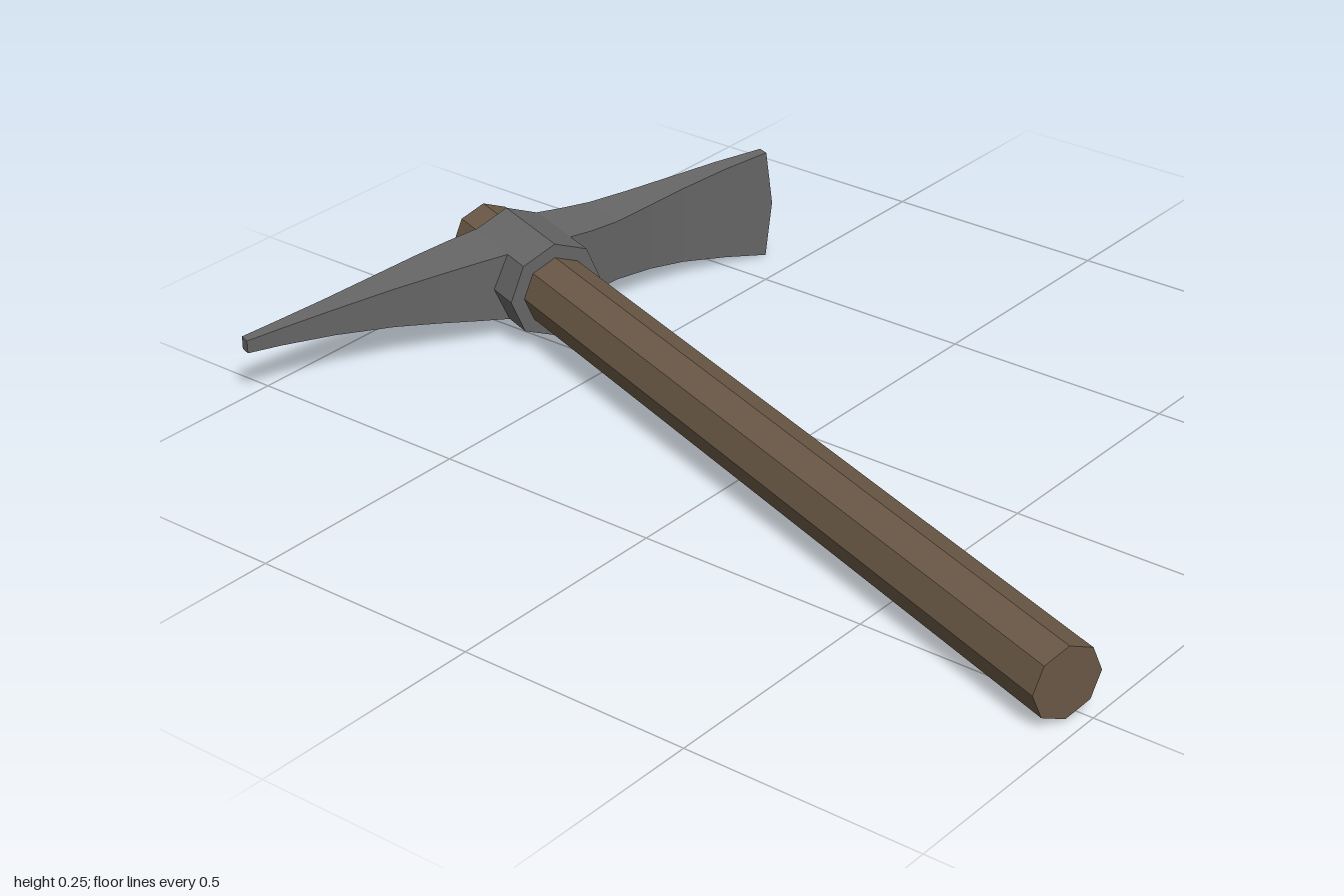
import * as THREE from 'three';

const wood = new THREE.MeshStandardMaterial({ color: 0x6a5846, flatShading: true });
const iron = new THREE.MeshStandardMaterial({ color: 0x666666, flatShading: true });

// Octagonal bar along local y, from y0 to y1
function octagonBar(name, radius, y0, y1, material) {
  const geometry = new THREE.CylinderGeometry(radius, radius, y1 - y0, 8);
  geometry.translate(0, (y0 + y1) / 2, 0);
  const mesh = new THREE.Mesh(geometry, material);
  mesh.name = name;
  return mesh;
}

// Loft through sections [x, yLow, yHigh, halfHeight, bulge]; six points per ring
function arm(name, sections) {
  const positions = [];
  const index = [];
  for (const [x, low, high, h, bulge = 0] of sections) {
    positions.push(
      x, low, -h, x, high, -h, x + bulge, high, 0,
      x, high, h, x, low, h, x + bulge, low, 0
    );
  }
  const flip = sections[0][0] > sections[sections.length - 1][0];
  const tri = (a, b, c) => (flip ? index.push(a, c, b) : index.push(a, b, c));
  for (let s = 0; s < sections.length - 1; s++) {
    for (let i = 0; i < 6; i++) {
      const a = s * 6 + i;
      const b = s * 6 + ((i + 1) % 6);
      tri(a, b, b + 6);
      tri(a, b + 6, a + 6);
    }
  }
  // End caps
  const e = (sections.length - 1) * 6;
  for (const [p, q, r] of [[0, 1, 2], [0, 2, 5], [5, 2, 3], [5, 3, 4]]) {
    tri(p, r, q);
    tri(e + p, e + q, e + r);
  }
  const geometry = new THREE.BufferGeometry();
  geometry.setAttribute('position', new THREE.Float32BufferAttribute(positions, 3));
  geometry.setIndex(index);
  geometry.computeVertexNormals();
  const mesh = new THREE.Mesh(geometry, iron);
  mesh.name = name;
  return mesh;
}

export function createModel() {
  const tool = new THREE.Group();
  tool.name = 'pickaxe';

  tool.add(octagonBar('handle', 0.075, 0, 2.02, wood));

  const head = new THREE.Group();
  head.name = 'head';
  head.add(octagonBar('collar', 0.106, 1.72, 1.92, iron));

  // Broad blade, flaring to a bowed cutting edge
  head.add(arm('blade', [
    [0, 1.785, 1.922, 0.075],
    [0.075, 1.785, 1.922, 0.075],
    [0.13, 1.792, 1.92, 0.071],
    [0.2, 1.806, 1.918, 0.068],
    [0.29, 1.822, 1.91, 0.075],
    [0.38, 1.832, 1.897, 0.087],
    [0.49, 1.832, 1.874, 0.106, 0.006],
    [0.587, 1.823, 1.847, 0.123, 0.016],
  ]));

  // Narrow pick, tapering to a blunt point
  head.add(arm('pick', [
    [0, 1.785, 1.922, 0.075],
    [-0.075, 1.785, 1.922, 0.075],
    [-0.14, 1.797, 1.92, 0.067],
    [-0.22, 1.812, 1.916, 0.056],
    [-0.32, 1.828, 1.906, 0.043],
    [-0.45, 1.838, 1.889, 0.029],
    [-0.57, 1.84, 1.872, 0.019],
    [-0.643, 1.838, 1.861, 0.014],
  ]));
  tool.add(head);

  // Lay the tool down: the handle runs along local y, the head along local x
  const along = new THREE.Vector3(0.64, 0.047, -1.915).normalize();
  const across = new THREE.Vector3(-along.z, 0, along.x).normalize();
  const up = new THREE.Vector3().crossVectors(across, along);
  tool.quaternion.setFromRotationMatrix(new THREE.Matrix4().makeBasis(across, along, up));
  tool.position.set(-0.54, 0.09, 0.97);

  const model = new THREE.Group();
  model.name = 'model';
  model.add(tool);
  return model;
}
